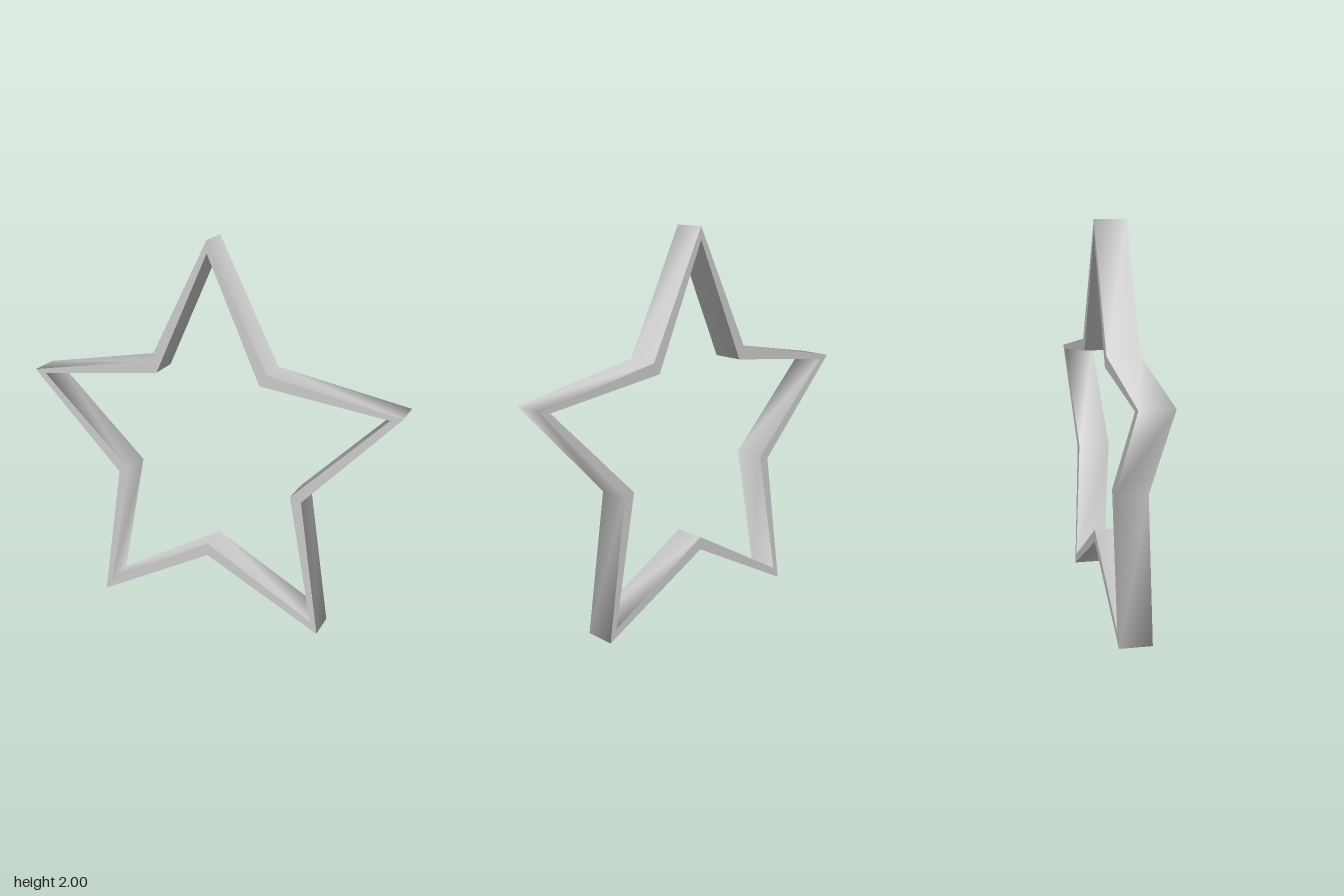
import * as THREE from 'three';

const HALF_DEPTH = 0.083;

// Ten-cornered star outline, counter-clockwise from the top tip.
// tip and valley are ellipses: [x radius, y radius, centre y]
function starOutline(tip, valley) {
  return Array.from({ length: 10 }, (_, i) => {
    const [rx, ry, cy] = i % 2 ? valley : tip;
    const a = Math.PI / 2 + (i * Math.PI) / 5;
    return [rx * Math.cos(a), cy + ry * Math.sin(a)];
  });
}

// Closed band joining two outlines; shared corners keep its shading smooth
function band(name, outlineA, zA, outlineB, zB, material) {
  const n = outlineA.length;
  const positions = [];
  const index = [];
  outlineA.forEach(([x, y]) => positions.push(x, y, zA));
  outlineB.forEach(([x, y]) => positions.push(x, y, zB));
  for (let i = 0; i < n; i++) {
    const j = (i + 1) % n;
    index.push(i, n + i, n + j, i, n + j, j);
  }
  const geometry = new THREE.BufferGeometry();
  geometry.setAttribute('position', new THREE.Float32BufferAttribute(positions, 3));
  geometry.setIndex(index);
  geometry.computeVertexNormals();
  const mesh = new THREE.Mesh(geometry, material);
  mesh.name = name;
  return mesh;
}

export function createModel() {
  const group = new THREE.Group();
  group.name = 'starFrame';
  const material = new THREE.MeshStandardMaterial({ color: 0xcccccc });

  const outer = starOutline([1.0515, 1.1056, 0.8944], [0.538, 0.5716, 0.9016]);
  const inner = starOutline([0.986, 1.034, 0.901], [0.476, 0.5014, 0.8994]);
  const d = HALF_DEPTH;

  // Four bands around the rectangular section of the frame
  group.add(
    band('outerWall', outer, d, outer, -d, material),
    band('backFace', outer, -d, inner, -d, material),
    band('innerWall', inner, -d, inner, d, material),
    band('frontFace', inner, d, outer, d, material),
  );
  return group;
}
